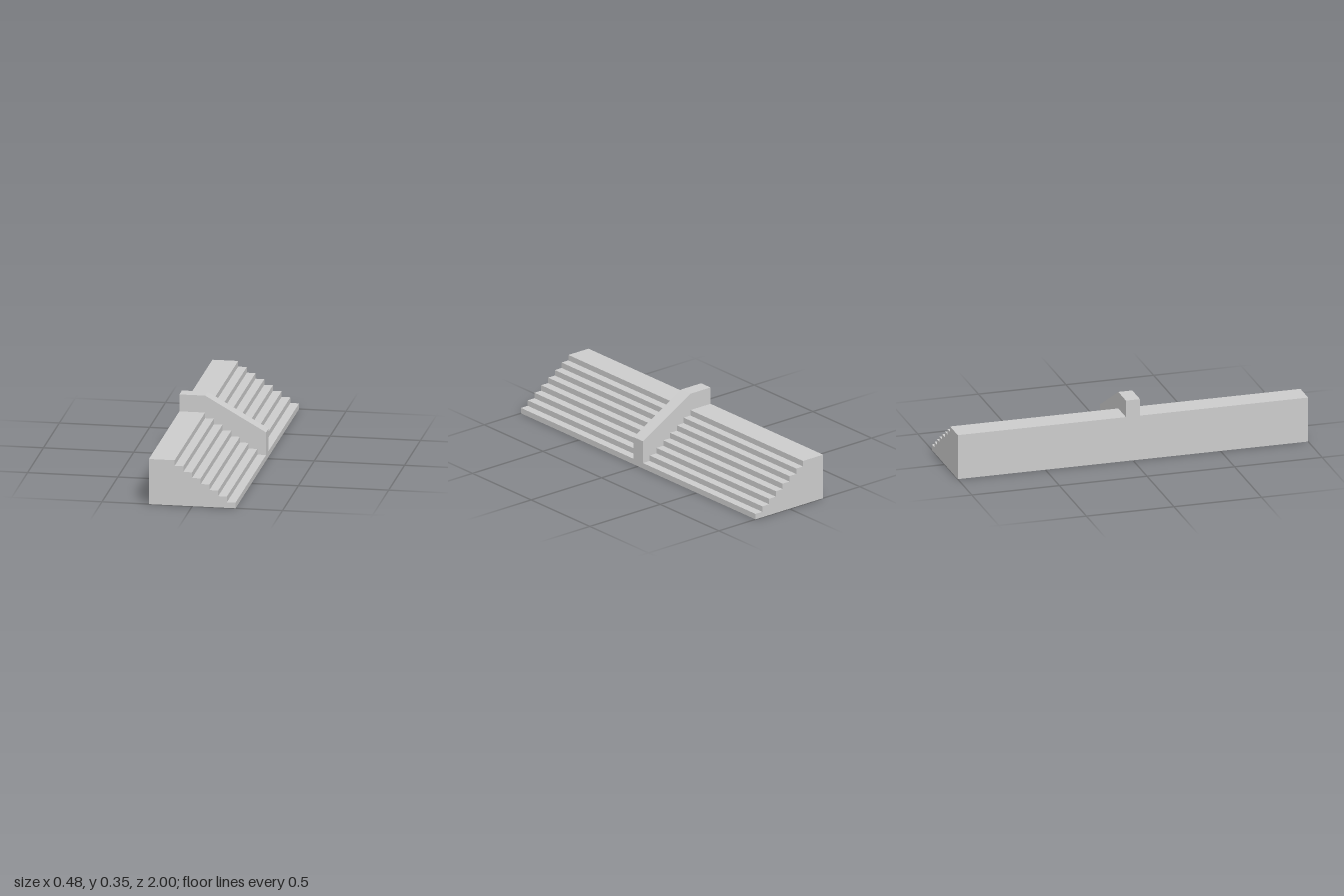
import * as THREE from 'three';

const STEPS = 8, RISE = 0.032, RUN = 0.0482;
const BACK = -0.24, FRONT = 0.24, LENGTH = 2, WALL = 0.08;

// Stepped line from the lowest tread's front edge up to the rear of the landing
function stepLine() {
  const pts = [];
  for (let i = 0; i < STEPS; i++) {
    const y = (i + 1) * RISE;
    pts.push([FRONT - i * RUN, y]);
    pts.push([i < STEPS - 1 ? FRONT - (i + 1) * RUN : BACK, y]);
  }
  return pts;
}

// Extrude an x-y profile along z, centred on z = 0
function slab(name, points, depth, material) {
  const shape = new THREE.Shape(points.map(([x, y]) => new THREE.Vector2(x, y)));
  const geometry = new THREE.ExtrudeGeometry(shape, { depth, bevelEnabled: false });
  geometry.translate(0, 0, -depth / 2);
  const mesh = new THREE.Mesh(geometry, material);
  mesh.name = name;
  return mesh;
}

export function createModel() {
  const group = new THREE.Group();
  group.name = 'staircase';
  const material = new THREE.MeshStandardMaterial({ color: 0xcccccc, flatShading: true });

  // Long solid flight of steps with a landing at the top
  group.add(slab('steps', [[BACK, 0], [FRONT, 0], ...stepLine()], LENGTH, material));

  // Central dividing wall: seated on the steps, sloped above them, level over the landing
  const top = [[BACK, 0.352], [FRONT - (STEPS - 1) * RUN, 0.352], [FRONT, 0.16]];
  group.add(slab('dividingWall', [...stepLine(), ...top], WALL, material));

  return group;
}
